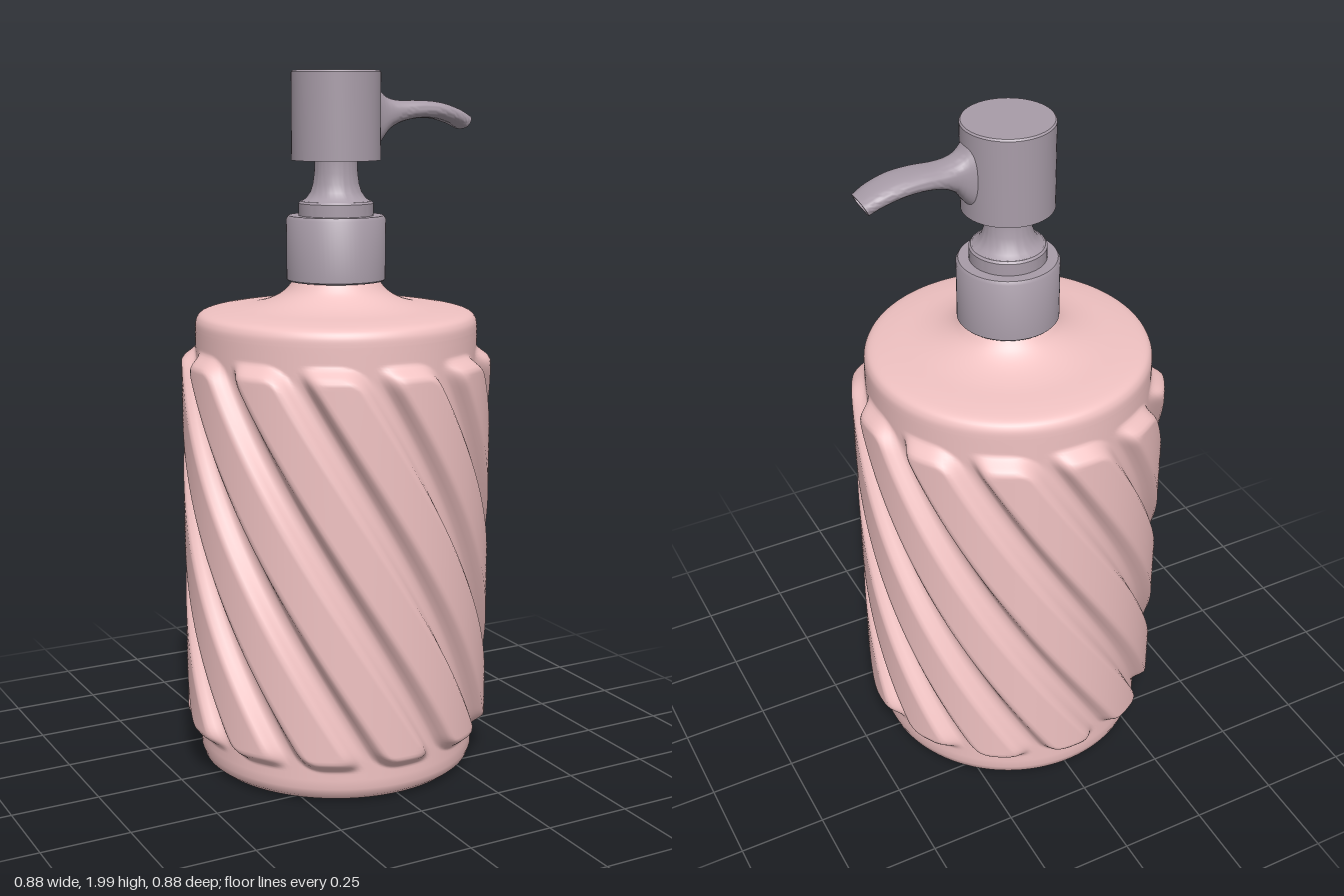
import * as THREE from 'three';
import { mergeVertices, toCreasedNormals } from 'three/addons/utils/BufferGeometryUtils.js';

const pink = new THREE.MeshStandardMaterial({ color: 0xf0c2c2 });
const mauve = new THREE.MeshStandardMaterial({ color: 0xa89ca8 });
const RIDGES = 12;

function addMesh(parent, name, geometry, material) {
  const mesh = new THREE.Mesh(geometry, material);
  mesh.name = name;
  parent.add(mesh);
}

const toPoints = (pairs) => pairs.map(([r, y]) => new THREE.Vector2(r, y));

// Turned part with crisp edges
function turned(pairs) {
  return toCreasedNormals(new THREE.LatheGeometry(toPoints(pairs), 64), 0.6);
}

// Height of the raised spiral bands; arc = distance across a band, y = height
function ridgeHeight(arc, y) {
  const along = Math.max(0.2 - y, y - 1.14, 0);
  const d = Math.pow(arc ** 4 + along ** 4, 0.25);
  return 0.04 * (1 - THREE.MathUtils.smoothstep(d, 0.055, 0.098));
}

// Bottle: lathe whose rows are twisted a quarter turn, then swollen along the bands
function bottleGeometry() {
  const base = [[0, 0.012], [0.34, 0.012], [0.355, 0.013], [0.375, 0.018], [0.392, 0.032], [0.4, 0.055]];
  const wall = [];
  for (let i = 0; i <= 80; i++) {
    const t = i / 80;
    // rows are packed closer at both ends of the bands
    wall.push([0.4, 0.08 + 1.19 * (t - 0.11 * Math.sin(2 * Math.PI * t))]);
  }
  const shoulder = new THREE.SplineCurve(toPoints([
    [0.4, 1.285], [0.397, 1.312], [0.38, 1.331], [0.33, 1.341], [0.25, 1.35],
    [0.19, 1.366], [0.145, 1.392], [0.115, 1.43],
  ])).getPoints(36);
  const geo = new THREE.LatheGeometry([...toPoints(base), ...toPoints(wall), ...shoulder], RIDGES * 20);
  const pos = geo.attributes.position;
  const pitch = (2 * Math.PI) / RIDGES;
  for (let i = 0; i < pos.count; i++) {
    const x = pos.getX(i), y = pos.getY(i), z = pos.getZ(i);
    const angle = Math.atan2(x, z);
    const arc = (angle - Math.round(angle / pitch) * pitch) * 0.42;
    const r = Math.hypot(x, z) + ridgeHeight(arc, y);
    const twist = -(Math.PI / 2) * THREE.MathUtils.clamp((y - 0.13) / 1.09, -0.1, 1.1);
    pos.setXYZ(i, r * Math.sin(angle + twist), y, r * Math.cos(angle + twist));
  }
  geo.deleteAttribute('uv');
  geo.deleteAttribute('normal');
  const welded = mergeVertices(geo, 1e-5);
  welded.computeVertexNormals();
  return welded;
}

// Spout: rounded sections swept along a drooping curve, with a hollow mouth
function spoutGeometry() {
  // centre x, centre y, half height, half width
  const keys = [
    [0.1, 1.875, 0.11, 0.058], [0.125, 1.877, 0.08, 0.05], [0.155, 1.882, 0.047, 0.046],
    [0.2, 1.888, 0.03, 0.048], [0.26, 1.893, 0.025, 0.053], [0.32, 1.889, 0.024, 0.055],
    [0.375, 1.874, 0.023, 0.052], [0.413, 1.856, 0.022, 0.046],
  ];
  const curve = (a, b) => new THREE.CatmullRomCurve3(
    keys.map((k) => new THREE.Vector3(k[a], k[b], 0)), false, 'catmullrom');
  const path = curve(0, 1), size = curve(2, 3);
  const rows = [];
  for (let i = 0; i <= 40; i++) rows.push([i / 40, 1]);
  rows.push([1, 0.74], [0.88, 0.7], [0.88, 0]);
  const sides = 32, verts = [], index = [];
  rows.forEach(([t, scale], row) => {
    const c = path.getPoint(t), s = size.getPoint(t), dir = path.getTangent(t);
    const tilt = Math.atan2(dir.y, dir.x) * Math.min(1, t * 2);
    for (let j = 0; j < sides; j++) {
      const a = (j / sides) * 2 * Math.PI;
      const round = (v) => Math.sign(v) * Math.pow(Math.abs(v), 0.8);
      const h = round(Math.sin(a)) * s.x * scale, w = round(Math.cos(a)) * s.y * scale;
      verts.push(c.x - Math.sin(tilt) * h, c.y + Math.cos(tilt) * h, w);
      if (row === 0) continue;
      const p = (row - 1) * sides + j, q = (row - 1) * sides + ((j + 1) % sides);
      index.push(p, p + sides, q, q, p + sides, q + sides);
    }
  });
  const geo = new THREE.BufferGeometry();
  geo.setAttribute('position', new THREE.Float32BufferAttribute(verts, 3));
  geo.setIndex(index);
  return toCreasedNormals(geo, 0.7);
}

export function createModel() {
  const model = new THREE.Group();
  model.name = 'soapDispenser';
  addMesh(model, 'bottle', bottleGeometry(), pink);

  const pump = new THREE.Group();
  pump.name = 'pump';
  model.add(pump);
  addMesh(pump, 'collar', turned([
    [0, 1.42], [0.136, 1.42], [0.14, 1.424], [0.14, 1.593], [0.134, 1.602], [0.105, 1.602],
    [0.105, 1.636], [0.1, 1.642], [0, 1.642],
  ]), mauve);
  addMesh(pump, 'stem', turned([
    [0.1, 1.64], [0.084, 1.65], [0.072, 1.667], [0.065, 1.69], [0.061, 1.72], [0.06, 1.75], [0.06, 1.92],
  ]), mauve);
  // Hollow cap that slides over the stem
  addMesh(pump, 'pumpHead', turned([
    [0, 1.91], [0.1, 1.91], [0.1, 1.755], [0.125, 1.755], [0.125, 1.995], [0.121, 2], [0, 2],
  ]), mauve);
  addMesh(pump, 'spout', spoutGeometry(), mauve);
  return model;
}
